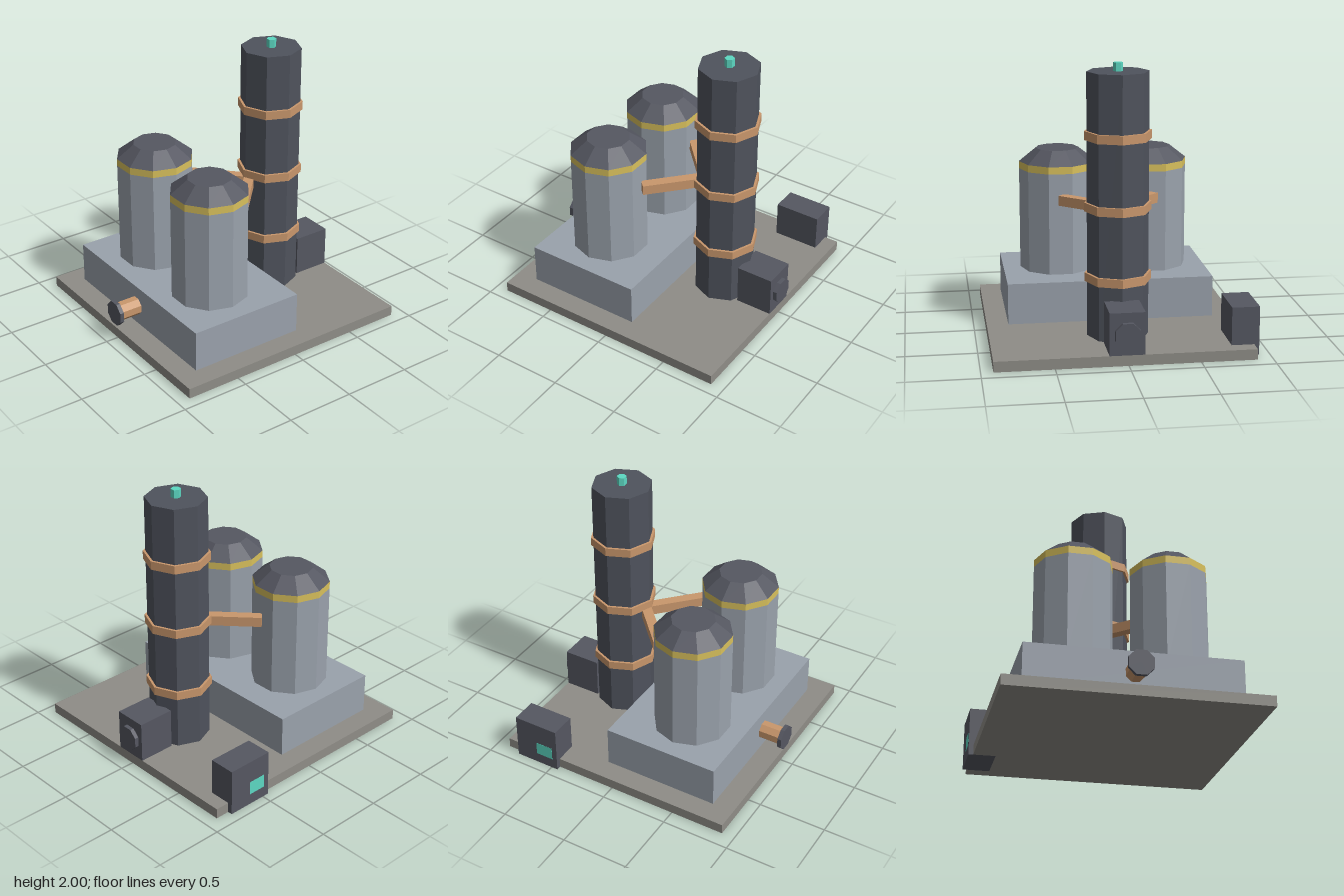
import * as THREE from 'three';

const mat = (color) => new THREE.MeshStandardMaterial({ color, flatShading: true });

export function createModel() {
  const group = new THREE.Group();
  const stone = mat(0x8f8d87), wall = mat(0x9aa2ac), dark = mat(0x555761);
  const stackMat = mat(0x4f535d), copper = mat(0xc9976c), yellow = mat(0xd8c05c), teal = mat(0x5cd8c2);
  const midZ = 0.01;

  function add(name, geometry, material, x, y, z) {
    const mesh = new THREE.Mesh(geometry, material);
    mesh.name = name;
    mesh.position.set(x, y, z);
    group.add(mesh);
    return mesh;
  }

  // Box given by its extents
  const box = (name, material, x0, x1, y0, y1, z0, z1) =>
    add(name, new THREE.BoxGeometry(x1 - x0, y1 - y0, z1 - z0), material,
      (x0 + x1) / 2, (y0 + y1) / 2, (z0 + z1) / 2);

  // Upright prism between two heights
  const prism = (name, material, rTop, rBottom, sides, x, y0, y1, z) =>
    add(name, new THREE.CylinderGeometry(rTop, rBottom, y1 - y0, sides), material, x, (y0 + y1) / 2, z);

  // Octagonal prism along x, with flats facing up and sideways
  function sidePrism(name, material, r, x0, x1) {
    const geometry = new THREE.CylinderGeometry(r, r, x1 - x0, 8);
    geometry.rotateY(Math.PI / 8).rotateZ(Math.PI / 2);
    add(name, geometry, material, (x0 + x1) / 2, 0.22, midZ);
  }

  // Ground slab and tank plinth
  box('baseSlab', stone, -0.905, 0.9, 0, 0.075, -0.89, 0.915);
  box('plinth', wall, -0.745, 0.125, 0.075, 0.375, -0.735, 0.76);

  // Two storage tanks, each joined to the chimney by a slanting duct
  for (const side of [-1, 1]) {
    const z = midZ + side * 0.342;
    prism('tankBody', wall, 0.28, 0.28, 10, -0.343, 0.375, 1.125, z);
    prism('tankBand', yellow, 0.28, 0.28, 10, -0.343, 1.125, 1.178, z);
    prism('tankCap', dark, 0.157, 0.28, 10, -0.343, 1.178, 1.275, z);

    const start = new THREE.Vector2(-0.06, side * 0.338), end = new THREE.Vector2(0.255, 0);
    const duct = add('duct', new THREE.BoxGeometry(start.distanceTo(end), 0.073, 0.073), copper,
      (start.x + end.x) / 2, 0.94, midZ + (start.y + end.y) / 2);
    duct.rotation.y = -Math.atan2(end.y - start.y, end.x - start.x);
  }

  // Chimney with three hoops and a beacon
  prism('chimney', stackMat, 0.217, 0.217, 8, 0.435, 0.075, 1.94, midZ);
  for (const y of [0.503, 1.002, 1.502]) {
    prism('chimneyHoop', copper, 0.235, 0.235, 8, 0.435, y - 0.031, y + 0.031, midZ);
  }
  prism('beacon', teal, 0.035, 0.035, 6, 0.435, 1.94, 2, midZ);

  // Fan housing beside the chimney
  box('fanHousing', dark, 0.625, 0.9, 0.075, 0.375, -0.112, 0.133);
  sidePrism('fanCover', dark, 0.093, 0.9, 0.93);

  // Inlet pipe with end flange
  sidePrism('inletPipe', copper, 0.068, -0.905, -0.745);
  sidePrism('inletFlange', dark, 0.093, -0.935, -0.905);

  // Control cabinet at the back edge with a lit panel
  box('controlCabinet', dark, 0.45, 0.795, 0, 0.345, -0.925, -0.73);
  box('cabinetPanel', teal, 0.49, 0.625, 0.08, 0.18, -0.926, -0.915);

  return group;
}
